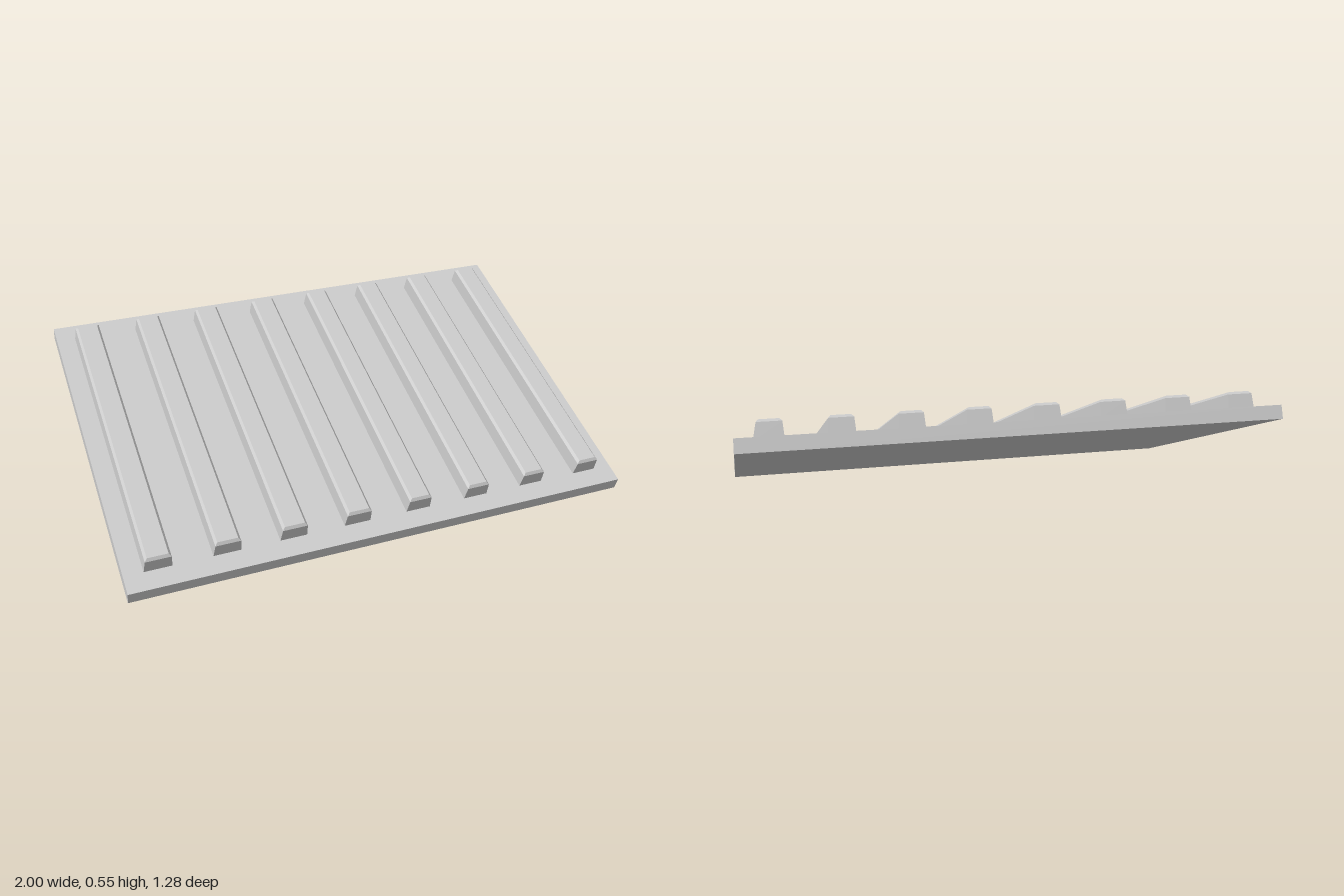
import * as THREE from 'three';

const TILT = Math.atan2(0.465, 1.257);
const PLATE = { width: 2, thickness: 0.053, length: 1.34 };

// Cross-sections of a rib from base to top: height, half-width inset, half length
const RIB_LEVELS = [
  { y: 0, inset: 0, halfLength: 0.594 },
  { y: 0.058, inset: 0.004, halfLength: 0.594 },
  { y: 0.068, inset: 0.013, halfLength: 0.585 },
];

// Slightly tapered bar with a chamfered top
function ribGeometry(halfWidth) {
  const geometry = new THREE.BoxGeometry(2, 2, 2, 1, 2, 1);
  const p = geometry.attributes.position;
  for (let i = 0; i < p.count; i++) {
    const level = RIB_LEVELS[Math.round(p.getY(i)) + 1];
    p.setXYZ(i, p.getX(i) * (halfWidth - level.inset), level.y, p.getZ(i) * level.halfLength);
  }
  geometry.computeVertexNormals();
  return geometry;
}

export function createModel() {
  const model = new THREE.Group();
  model.name = 'ribbedRamp';
  const material = new THREE.MeshStandardMaterial({ color: 0xcccccc, flatShading: true });

  // Everything sits in the sloping plane, low edge at the front
  const ramp = new THREE.Group();
  ramp.name = 'ramp';
  ramp.rotation.x = TILT;
  ramp.position.y = (PLATE.length * Math.sin(TILT) + PLATE.thickness * Math.cos(TILT)) / 2;
  model.add(ramp);

  const plate = new THREE.Mesh(
    new THREE.BoxGeometry(PLATE.width, PLATE.thickness, PLATE.length), material);
  plate.name = 'basePlate';
  ramp.add(plate);

  // Two sets of four ribs, the set on the +x side a little narrower and closer
  const sets = [
    { start: -0.874, step: 0.254, halfWidth: 0.052 },
    { start: 0.139, step: 0.246, halfWidth: 0.049 },
  ];
  for (const { start, step, halfWidth } of sets) {
    const geometry = ribGeometry(halfWidth);
    for (let i = 0; i < 4; i++) {
      const rib = new THREE.Mesh(geometry, material);
      rib.name = 'rib';
      rib.position.set(start + i * step, PLATE.thickness / 2, 0);
      ramp.add(rib);
    }
  }
  return model;
}
